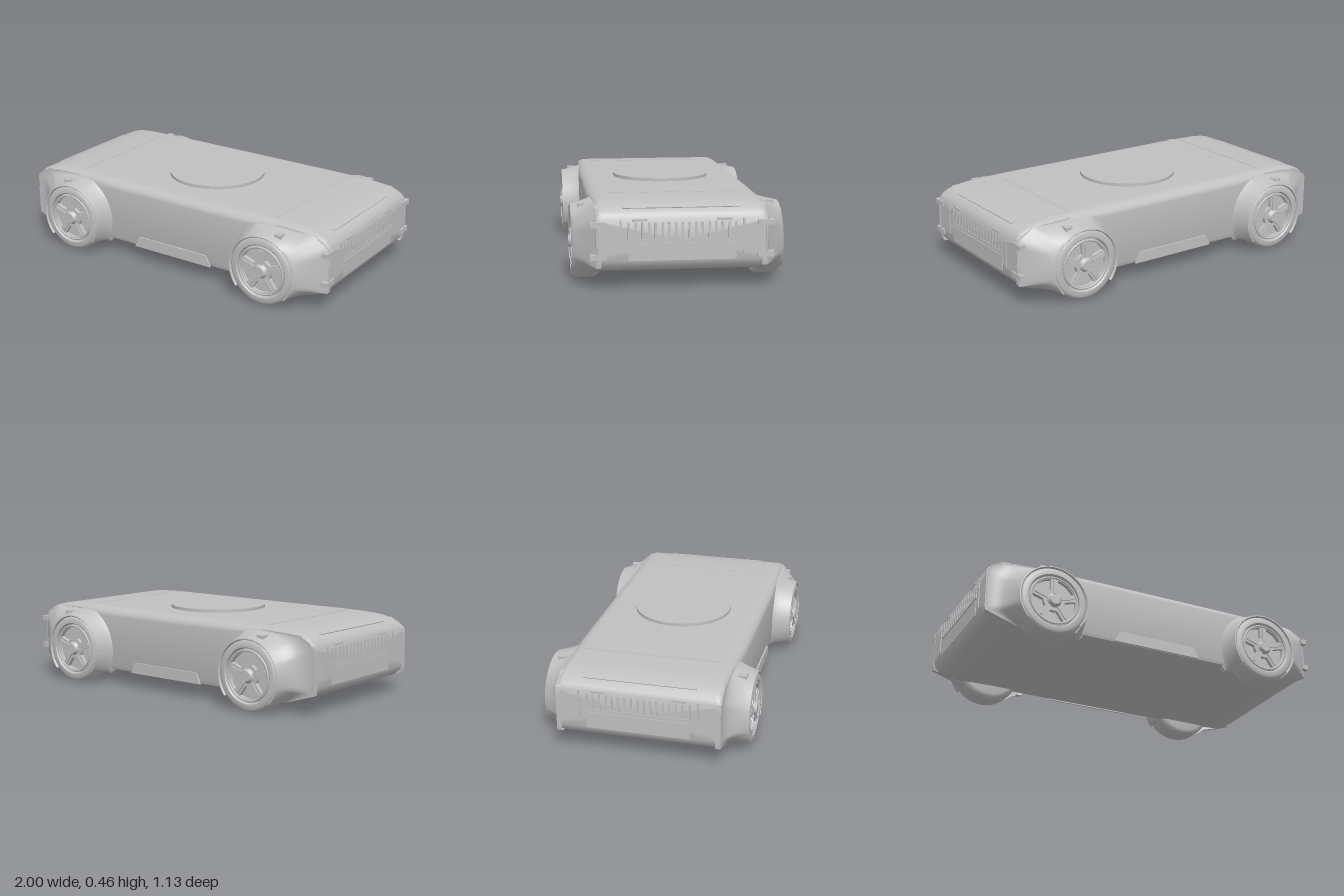
import * as THREE from 'three';
import { toCreasedNormals } from 'three/addons/utils/BufferGeometryUtils.js';

const grey = new THREE.MeshStandardMaterial({ color: 0xc0c0c0, side: THREE.DoubleSide });
grey.name = 'light grey';

function add(parent, name, geometry, x = 0, y = 0, z = 0) {
  const mesh = new THREE.Mesh(geometry, grey);
  mesh.name = name;
  mesh.position.set(x, y, z);
  parent.add(mesh);
  return mesh;
}

// Skin a list of equally long point rows
function skin(rows, crease = 0.6) {
  const n = rows[0].length, index = [];
  for (let j = 0; j < rows.length - 1; j++) {
    for (let i = 0; i < n - 1; i++) {
      const a = j * n + i, b = a + n;
      index.push(a, b, b + 1, a, b + 1, a + 1);
    }
  }
  const g = new THREE.BufferGeometry();
  g.setAttribute('position', new THREE.Float32BufferAttribute(rows.flat(2), 3));
  g.setIndex(index);
  return toCreasedNormals(g, crease);
}

// Closed body section at x: round shoulders, tight lower edges
function section(x, y0, y1, w, r) {
  const half = [[w - 0.03, y0], [w - 0.012, y0 + 0.005], [w - 0.004, y0 + 0.025]];
  for (let k = 0; k <= 8; k++) {
    const a = (k / 8) * Math.PI / 2;
    half.push([w - r * 1.4 * (1 - Math.cos(a)), y1 - r * (1 - Math.sin(a))]);
  }
  const loop = [...half, ...half.map(([z, y]) => [-z, y]).reverse(), half[0]];
  return loop.map(([z, y]) => [x, y, z]);
}

function bodyGeometry() {
  // x, bottom, top, half width, shoulder radius
  const end = [
    [0.42, 0.08, 0.445, 0.455, 0.05], [0.64, 0.08, 0.445, 0.448, 0.045],
    [0.8, 0.078, 0.44, 0.44, 0.035], [0.87, 0.08, 0.432, 0.438, 0.03],
    [0.92, 0.088, 0.42, 0.437, 0.028], [0.955, 0.1, 0.404, 0.436, 0.025],
    [0.98, 0.122, 0.382, 0.435, 0.02], [0.992, 0.15, 0.358, 0.433, 0.015],
  ];
  const rows = [
    ...end.map(([x, ...s]) => section(-x, ...s)).reverse(),
    ...end.map((s) => section(...s)),
  ];
  const cap = (x) => rows[0].map(() => [x, 0.25, 0]);
  return skin([cap(-0.992), ...rows, cap(0.992)]);
}

// Fender flaring from the wheel lip to the body; local +x points to the end of the car
function fenderGeometry(power) {
  const rows = [], steps = 72, from = -0.74, to = Math.PI + 0.68;
  const outline = (a) => {
    const c = Math.cos(a), s = Math.sin(a);
    const planes = [[1, 0, 0.345], [0, 1, 0.224], [0.06, 0.095, 0.0364], [0.06, -0.19, 0.0359], [0, -1, 0.14]];
    let r = c < 0 ? 0.245 : 1;
    for (const [nx, ny, d] of planes) {
      const k = nx * c + ny * s;
      if (k > 1e-4) r = Math.min(r, d / k);
    }
    return Math.max(r, 0.202);
  };
  const ring = (f) => rows.push(Array.from({ length: steps + 1 }, (_, i) => {
    const a = from + (to - from) * i / steps;
    const [r, z] = f(a);
    return [r * Math.cos(a), r * Math.sin(a), z];
  }));
  ring(() => [0.187, 0.46]);
  ring(() => [0.187, 0.549]);
  ring(() => [0.192, 0.555]);
  for (let k = 0; k <= 10; k++) {
    const s = k / 10;
    ring((a) => {
      const p = Math.cos(a) > 0 ? 1 + (power - 1) * Math.cos(a) : 1 - Math.cos(a);
      return [0.197 + (outline(a) - 0.197) * s, 0.437 + 0.117 * Math.pow(1 - s, p)];
    });
  }
  ring((a) => [outline(a), 0.41]);
  return skin(rows, 0.7);
}

// Wheel around local z, outer face towards +z
function makeWheel() {
  const wheel = new THREE.Group();
  wheel.name = 'wheel';
  const v = (list) => list.map(([x, y]) => new THREE.Vector2(x, y));
  const tire = new THREE.LatheGeometry(v([
    [0, 0.405], [0.165, 0.405], [0.183, 0.412], [0.193, 0.43], [0.195, 0.46], [0.195, 0.5],
    [0.193, 0.527], [0.186, 0.545], [0.174, 0.553], [0.15, 0.553], [0.145, 0.548], [0.143, 0.52], [0, 0.52],
  ]), 56);
  tire.rotateX(Math.PI / 2);
  add(wheel, 'tire', toCreasedNormals(tire, 0.7));

  // Rim face with five windows
  const face = new THREE.Shape().absarc(0, 0, 0.141, 0, Math.PI * 2);
  for (let i = 0; i < 5; i++) {
    const a = Math.PI / 2 + (i + 0.5) * Math.PI * 0.4;
    const hole = new THREE.Path();
    hole.absarc(0, 0, 0.124, a - 0.46, a + 0.46, false);
    hole.absarc(0, 0, 0.06, a + 0.3, a - 0.3, true);
    hole.closePath();
    face.holes.push(hole);
  }
  const rim = new THREE.ExtrudeGeometry(face, { depth: 0.022, bevelEnabled: false, curveSegments: 40 });
  add(wheel, 'rim', rim, 0, 0, 0.522);
  add(wheel, 'rimEdge', new THREE.TorusGeometry(0.133, 0.006, 8, 56), 0, 0, 0.545);
  const hub = new THREE.CylinderGeometry(0.028, 0.042, 0.022, 24).rotateX(Math.PI / 2);
  add(wheel, 'hub', hub, 0, 0, 0.553);
  for (let i = 0; i < 5; i++) {
    const a = Math.PI / 2 + i * Math.PI * 0.4;
    const rib = new THREE.BoxGeometry(0.08, 0.014, 0.008);
    add(wheel, 'spokeRib', rib, 0.08 * Math.cos(a), 0.08 * Math.sin(a), 0.547).rotation.z = a;
  }
  return wheel;
}

// Details on one end, built for +x
function makeEnd() {
  const end = new THREE.Group();
  end.name = 'endDetails';
  for (let i = 0; i < 17; i++) {
    add(end, 'grilleRib', new THREE.BoxGeometry(0.012, 0.085, 0.012), 0.99, 0.303, -0.272 + i * 0.034);
  }
  add(end, 'grilleSill', new THREE.BoxGeometry(0.01, 0.006, 0.56), 0.992, 0.258, 0);
  add(end, 'lowerPanel', new THREE.BoxGeometry(0.008, 0.09, 0.55), 0.992, 0.195, 0);
  add(end, 'topBar', new THREE.BoxGeometry(0.02, 0.01, 0.6), 0.935, 0.412, 0).rotation.z = -0.4;
  for (const s of [1, -1]) {
    add(end, 'sideBar', new THREE.BoxGeometry(0.01, 0.18, 0.009), 0.992, 0.27, s * 0.315);
    add(end, 'smallLamp', new THREE.BoxGeometry(0.012, 0.012, 0.075), 0.99, 0.357, s * 0.215);
    // Seam between body and fender
    const path = new THREE.CatmullRomCurve3([
      [0.67, 0.424], [0.85, 0.416], [0.93, 0.4], [0.98, 0.368], [0.991, 0.33], [0.991, 0.16], [0.975, 0.12],
    ].map(([x, y]) => new THREE.Vector3(x, y, s * 0.434)));
    add(end, 'fenderSeam', new THREE.TubeGeometry(path, 36, 0.005, 6), 0, 0, 0);
  }
  return end;
}

export function createModel() {
  const model = new THREE.Group();
  model.name = 'vehiclePlatform';
  add(model, 'body', bodyGeometry());
  add(model, 'topDisc', new THREE.CylinderGeometry(0.273, 0.273, 0.02, 64), 0, 0.452, 0);

  // Panel seams across the roof
  for (const x of [-0.67, 0.65]) {
    add(model, 'roofSeam', new THREE.BoxGeometry(0.004, 0.003, 0.76), x, 0.4445, 0);
  }

  // Trapezoid plates on the sills
  const plate = new THREE.Shape([[-0.255, 0.083], [0.265, 0.083], [0.235, 0.145], [-0.225, 0.145]]
    .map(([x, y]) => new THREE.Vector2(x, y)));
  const plateGeometry = new THREE.ExtrudeGeometry(plate, { depth: 0.009, bevelEnabled: false });
  add(model, 'sillPlate', plateGeometry, 0, 0, 0.452);
  add(model, 'sillPlate', plateGeometry, 0, 0, -0.461);

  // Ends, wheels and fenders
  for (const sx of [1, -1]) {
    const end = makeEnd();
    end.scale.x = sx;
    model.add(end);
    const fender = fenderGeometry(sx > 0 ? 1 : 3);
    for (const sz of [1, -1]) {
      const corner = new THREE.Group();
      corner.name = 'wheelCorner';
      corner.position.set(sx > 0 ? 0.648 : -0.655, 0.195, 0);
      corner.scale.set(sx, 1, sz);
      corner.add(makeWheel());
      add(corner, 'fender', fender);
      add(corner, 'markerLamp', new THREE.BoxGeometry(0.04, 0.03, 0.05), sx > 0 ? 0.08 : 0.052, 0.198, 0.49);
      model.add(corner);
      // Hinges on the tapered end only
      if (sx > 0) {
        for (const y of [0.172, 0.336]) {
          add(model, 'hinge', new THREE.BoxGeometry(0.035, 0.028, 0.085), 0.9825, y, sz * 0.428);
        }
      }
    }
  }
  return model;
}
